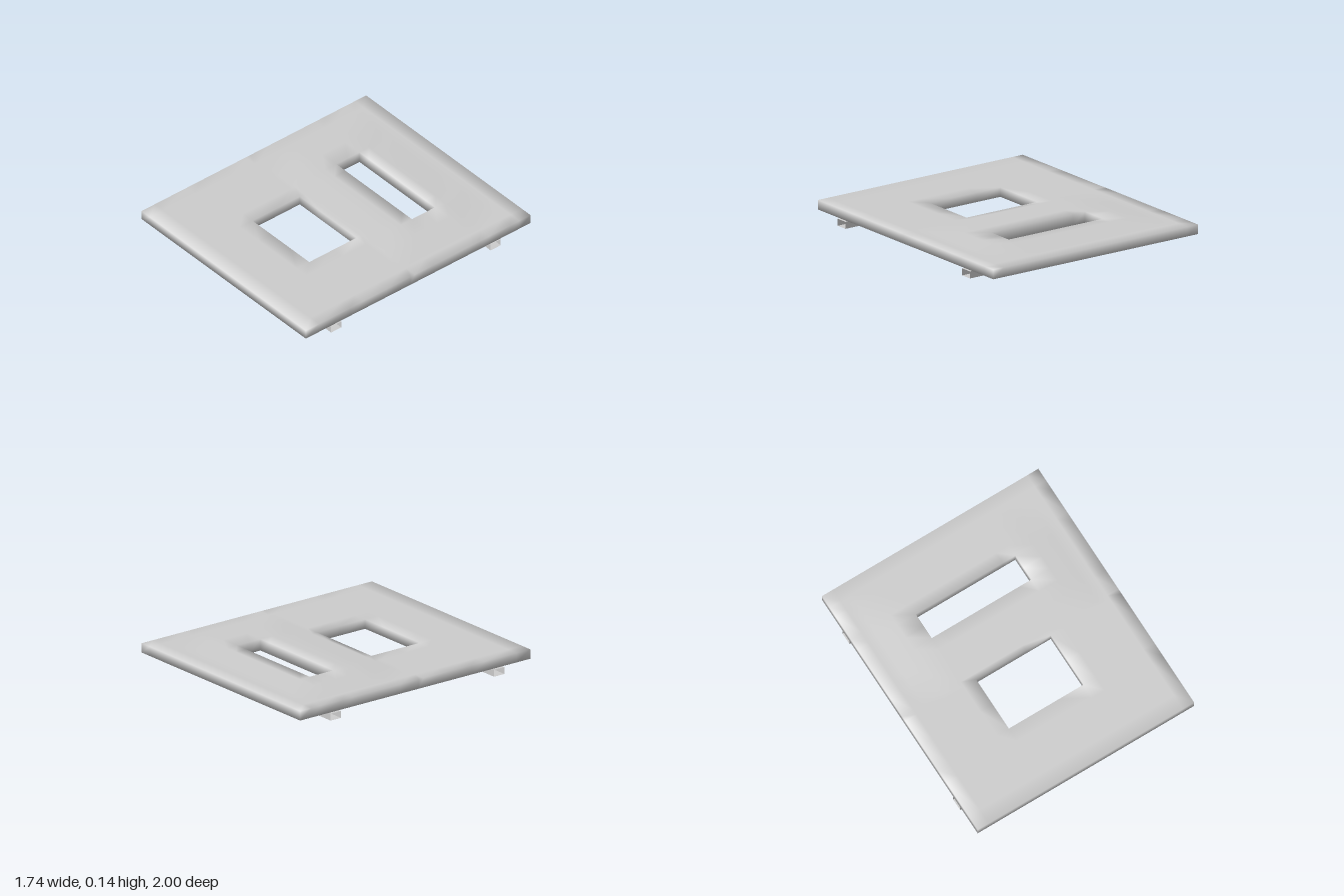
import * as THREE from 'three';

const mat = () => new THREE.MeshStandardMaterial({ color: 0xcccccc, side: THREE.DoubleSide });

// Grid lines of the plate; the openings fall on these lines
const half = [0.1, 0.3, 0.4, 0.55, 0.7, 0.78, 0.87];
const xs = [...half.map((v) => -v).reverse(), ...half];
const zs = [-1, -0.9, -0.82, -0.63, -0.545, -0.44, -0.34, -0.24, -0.13, 0.03, 0.07, 0.28, 0.49, 0.6, 0.88, 1];
const openings = [
  { x: 0.4, z0: -0.545, z1: -0.34 },
  { x: 0.3, z0: 0.07, z1: 0.49 },
];
const BOTTOM = 0.06, TOP = 0.128, RISE = 0.015;

// Shallow raised area around the slot
function topHeight(x, z) {
  const fx = THREE.MathUtils.clamp((0.7 - Math.abs(x)) / 0.15, 0, 1);
  const fz = THREE.MathUtils.clamp(Math.min((0.03 - z) / 0.16, (z + 0.82) / 0.19), 0, 1);
  return TOP + RISE * Math.min(fx, fz);
}

function isSolid(i, j) {
  if (i < 0 || j < 0 || i >= xs.length - 1 || j >= zs.length - 1) return false;
  const x = (xs[i] + xs[i + 1]) / 2, z = (zs[j] + zs[j + 1]) / 2;
  return !openings.some((o) => Math.abs(x) < o.x && z > o.z0 && z < o.z1);
}

// Closed plate with shared vertices, so the shading rolls softly over its edges
function plateGeometry() {
  const positions = [], index = [];
  for (const z of zs) {
    for (const x of xs) positions.push(x, BOTTOM, z, x, topHeight(x, z), z);
  }
  const low = (i, j) => 2 * (j * xs.length + i);
  const quad = (a, b, c, d) => index.push(a, b, c, a, c, d);
  for (let j = 0; j < zs.length - 1; j++) {
    for (let i = 0; i < xs.length - 1; i++) {
      if (!isSolid(i, j)) continue;
      const [a, b, c, d] = [low(i, j), low(i, j + 1), low(i + 1, j + 1), low(i + 1, j)];
      quad(a + 1, b + 1, c + 1, d + 1);
      quad(a, d, c, b);
      // Walls where the neighbouring cell is empty
      const sides = [[a, b, i - 1, j], [b, c, i, j + 1], [c, d, i + 1, j], [d, a, i, j - 1]];
      for (const [p, q, ni, nj] of sides) {
        if (!isSolid(ni, nj)) quad(p, q, q + 1, p + 1);
      }
    }
  }
  const g = new THREE.BufferGeometry();
  g.setAttribute('position', new THREE.Float32BufferAttribute(positions, 3));
  g.setIndex(index);
  g.computeVertexNormals();
  return g;
}

// Thin rectangular tube along x, open at both ends
function railGeometry(length, height, depth) {
  const box = new THREE.BoxGeometry(length, height, depth);
  box.setIndex(Array.from(box.index.array).slice(12)); // drop the two end caps
  box.clearGroups();
  return box;
}

export function createModel() {
  const model = new THREE.Group();
  model.name = 'coverPlate';

  const plate = new THREE.Mesh(plateGeometry(), mat());
  plate.name = 'plate';
  model.add(plate);

  // Mounting rails under the plate
  for (const [name, z] of [['frontRail', 0.73], ['backRail', -0.69]]) {
    const rail = new THREE.Mesh(railGeometry(1.74, 0.05, 0.09), mat());
    rail.name = name;
    rail.position.set(0, 0.025, z);
    model.add(rail);
  }
  return model;
}
